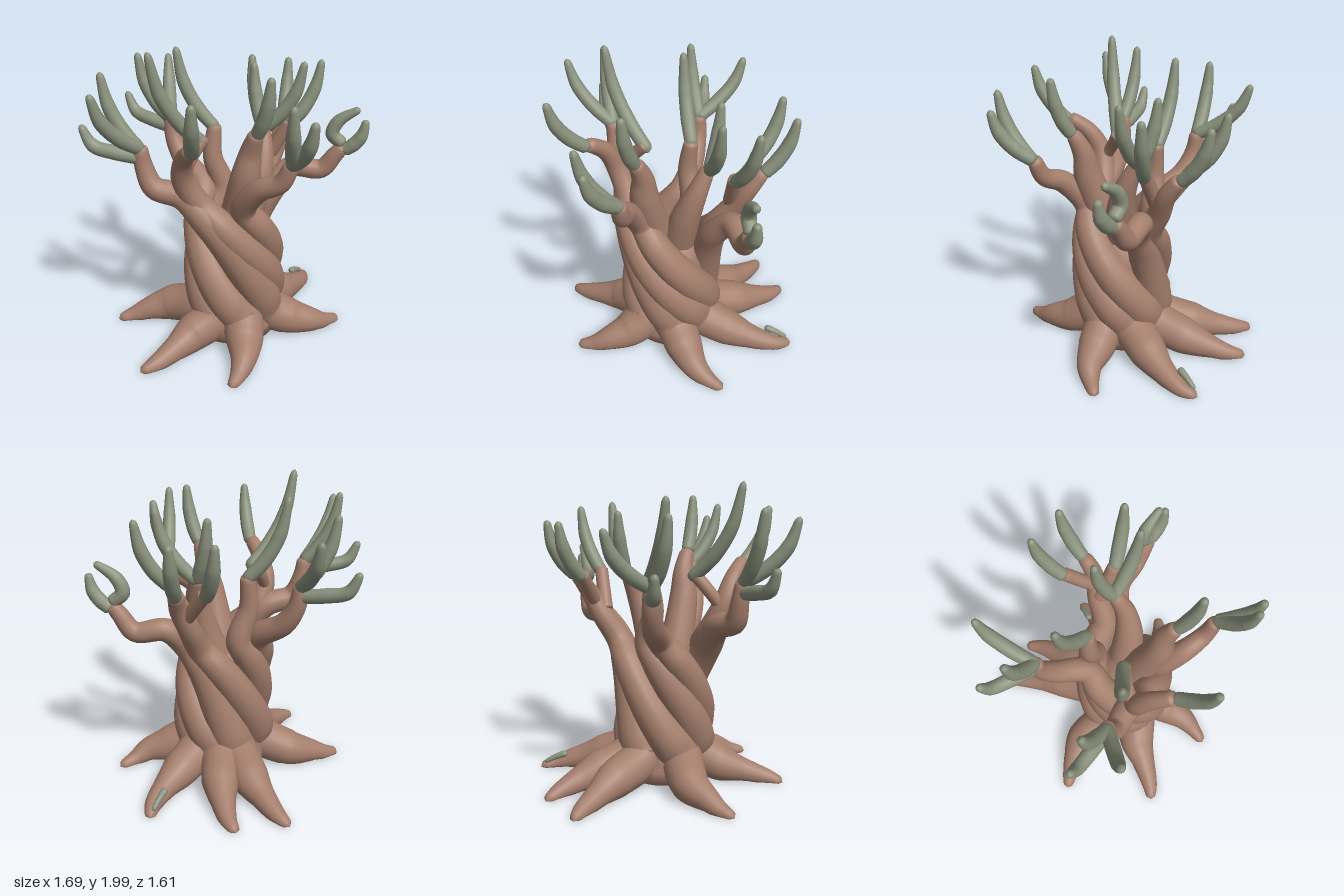
import * as THREE from 'three';
import { mergeVertices } from 'three/addons/utils/BufferGeometryUtils.js';

const { lerp } = THREE.MathUtils;
const bark = new THREE.MeshStandardMaterial({ color: 0xa47e6c });
bark.name = 'bark';
const leaf = new THREE.MeshStandardMaterial({ color: 0x8a917c });
leaf.name = 'leaf green';

// Axis of the trunk
const axisX = 0.04, axisZ = 0.06;

// Smooth tube through [x, y, z, radius] points with rounded ends, flattened on the ground
function taperedTube(points, segments, sides, cap) {
  const curve = new THREE.CatmullRomCurve3(points.map(p => new THREE.Vector3(p[0], p[1], p[2])));
  const geo = new THREE.TubeGeometry(curve, segments, 1, sides);
  const pos = geo.attributes.position;
  const v = new THREE.Vector3();
  for (let i = 0; i <= segments; i++) {
    const u = i / segments;
    const centre = curve.getPointAt(u);
    const f = curve.getUtoTmapping(u) * (points.length - 1);
    const k = Math.min(Math.floor(f), points.length - 2);
    let r = lerp(points[k][3], points[k + 1][3], f - k);
    const edge = Math.min(u, 1 - u) / cap;
    if (edge < 1) r *= Math.sqrt(Math.max(0.0001, 1 - (1 - edge) ** 2));
    for (let j = 0; j <= sides; j++) {
      const n = i * (sides + 1) + j;
      v.fromBufferAttribute(pos, n).sub(centre).multiplyScalar(r).add(centre);
      pos.setXYZ(n, v.x, Math.max(0.01, v.y), v.z);
    }
  }
  geo.deleteAttribute('uv');
  geo.deleteAttribute('normal');
  const smooth = mergeVertices(geo, 1e-5);
  smooth.computeVertexNormals();
  return smooth;
}

// Gives every point of a limb a radius that narrows from start to end
const taper = (points, start, end) =>
  points.map((p, i) => [...p, lerp(start, end, i / (points.length - 1))]);

// Root curling in over the ground, then winding up the trunk to the point where its limb leaves
function rootAndHelix(rootX, rootZ, curl, [lx, ly, lz]) {
  const tipAngle = Math.atan2(rootZ, rootX);
  const reach = Math.hypot(rootX, rootZ) + 0.02;
  const path = [[reach, 0.012, 0.03], [reach - 0.1, 0.03, 0.055], [0.57, 0.07, 0.085], [0.42, 0.11, 0.125]]
    .map(([d, y, r], i) => {
      const a = tipAngle + curl * i / 3;
      return [Math.cos(a) * d, y, Math.sin(a) * d, r];
    });
  const start = tipAngle + curl;
  const outX = lx - axisX, outZ = lz - axisZ;
  let turn = Math.atan2(outZ, outX) - start;
  if (turn < 0) turn += Math.PI * 2;
  for (let t = 0; t < 0.99; t += 1 / 6) {
    const a = start + turn * t;
    const d = lerp(0.215, Math.hypot(outX, outZ), t ** 4);
    path.push([axisX + Math.cos(a) * d, lerp(0.2, ly, t), axisZ + Math.sin(a) * d, lerp(0.145, 0.09, t)]);
  }
  return path;
}

// Shoot from a limb end: spreads outward first, then sweeps up to its tip
function shootPath(base, [x, y, z, sag = 0, bow = 0]) {
  const at = (out, up, r, bend) =>
    [lerp(base[0], x, out) + bend, lerp(base[1], y, up) - sag, lerp(base[2], z, out), r];
  return [at(-0.06, -0.1, 0.042, 0), at(0.43, 0.18, 0.047, bow), at(0.8, 0.53, 0.043, bow), [x, y, z, 0.022]];
}

export function createModel() {
  const tree = new THREE.Group();
  tree.name = 'twistedTree';
  const add = (name, geo, mat) => {
    const mesh = new THREE.Mesh(geo, mat);
    mesh.name = name;
    tree.add(mesh);
    return mesh;
  };
  const addShoots = (name, base, tips) => tips.forEach((tip, i) =>
    add(`${name}Shoot${i + 1}`, taperedTube(shootPath(base, tip), 48, 14, 0.07), leaf));

  // Strand: root, helix and limb in one piece, with shoots at its end
  const strand = (name, rootX, rootZ, curl, limb, ...tips) => {
    const path = [...rootAndHelix(rootX, rootZ, curl, limb[0]), ...taper(limb, 0.085, 0.045)];
    add(name, taperedTube(path, 110, 18, 0.016), bark);
    addShoots(name, limb.at(-1), tips);
  };
  // Branch: rises from the trunk or from another limb
  const branch = (name, radius, points, ...tips) => {
    add(name, taperedTube(taper(points, radius, 0.043), 40, 16, 0.05), bark);
    addShoots(name, points.at(-1), tips);
  };

  // Solid core that fills the gaps between the strands
  const profile = [[0, 0.03], [0.28, 0.03], [0.3, 0.12], [0.24, 0.35], [0.23, 0.65], [0.18, 0.8], [0, 0.9]];
  const core = add('trunkCore', new THREE.LatheGeometry(profile.map(p => new THREE.Vector2(...p)), 32), bark);
  core.position.set(axisX, 0, axisZ);

  // Seven strands
  strand('frontRightStrand', 0.72, -0.18, 0.3,
    [[-0.22, 1.08, 0.33], [-0.39, 1.14, 0.37], [-0.45, 1.27, 0.37], [-0.47, 1.42, 0.38]],
    [-0.83, 1.53, 0.42, 0.08], [-0.69, 1.86, 0.4], [-0.65, 1.8, 0.65]);
  strand('frontStrand', 0.39, -0.72, 0.25,
    [[-0.12, 1.03, 0.32], [-0.2, 1.22, 0.38], [-0.17, 1.37, 0.45], [-0.08, 1.49, 0.57]],
    [-0.01, 1.83, 0.785]);
  strand('frontLeftStrand', -0.15, -0.79, 0.18,
    [[0.15, 1, 0.26], [0.27, 1.19, 0.36], [0.41, 1.27, 0.4], [0.48, 1.42, 0.42]],
    [0.51, 1.82, 0.645], [0.625, 1.73, 0.61]);
  strand('leftStrand', -0.46, -0.69, 0.1,
    [[0.24, 0.95, -0.19], [0.36, 1.1, -0.28], [0.55, 1.09, -0.31], [0.64, 1.2, -0.31], [0.7, 1.28, -0.31]],
    [0.785, 1.53, -0.31, -0.02, -0.12], [0.83, 1.46, -0.305, 0.03]);
  strand('backLeftStrand', -0.74, 0.22, 0.12,
    [[0.15, 0.95, -0.22], [0.2, 1.12, -0.32], [0.25, 1.28, -0.4], [0.25, 1.41, -0.49]],
    [0.245, 1.75, -0.67]);
  strand('backStrand', -0.39, 0.73, -0.1,
    [[-0.08, 0.98, -0.1], [-0.14, 1.2, -0.08], [-0.13, 1.43, -0.1]],
    [-0.38, 1.92, -0.085]);
  strand('backRightStrand', 0.19, 0.73, -0.22,
    [[-0.2, 1, -0.05], [-0.37, 1.13, -0.16], [-0.45, 1.27, -0.2], [-0.47, 1.42, -0.21]],
    [-0.82, 1.53, -0.31, 0.08], [-0.68, 1.84, -0.18], [-0.585, 1.76, -0.53]);

  // Inner limbs and side twigs
  branch('innerBackLimb', 0.12, [[0.08, 0.75, 0.03], [0.17, 1.05, -0.02], [0.2, 1.24, -0.08], [0.18, 1.42, -0.16]],
    [0.095, 1.81, -0.24], [0.435, 1.85, -0.18]);
  branch('innerFrontLimb', 0.12, [[0.05, 0.75, 0.12], [0.16, 1.22, 0.24], [0.19, 1.38, 0.25], [0.24, 1.54, 0.3]],
    [0.335, 1.89, 0.375]);
  branch('frontTwig', 0.04, [[-0.21, 1.2, 0.36], [-0.18, 1.32, 0.27], [-0.12, 1.43, 0.19]], [-0.385, 2, 0.41]);
  branch('leftTwig', 0.05, [[0.19, 1.15, -0.3], [0.33, 1.42, -0.29]], [0.515, 1.82, -0.38]);
  branch('backTwig', 0.045, [[0.22, 1.2, -0.36], [0.07, 1.42, -0.49]], [-0.01, 1.76, -0.65]);

  // Mossy streak on one back root
  const moss = taper([[0.33, 0.12, -0.56], [0.36, 0.09, -0.64], [0.385, 0.05, -0.71]], 0.025, 0.015);
  add('rootMoss', taperedTube(moss, 24, 12, 0.15), leaf);
  return tree;
}
